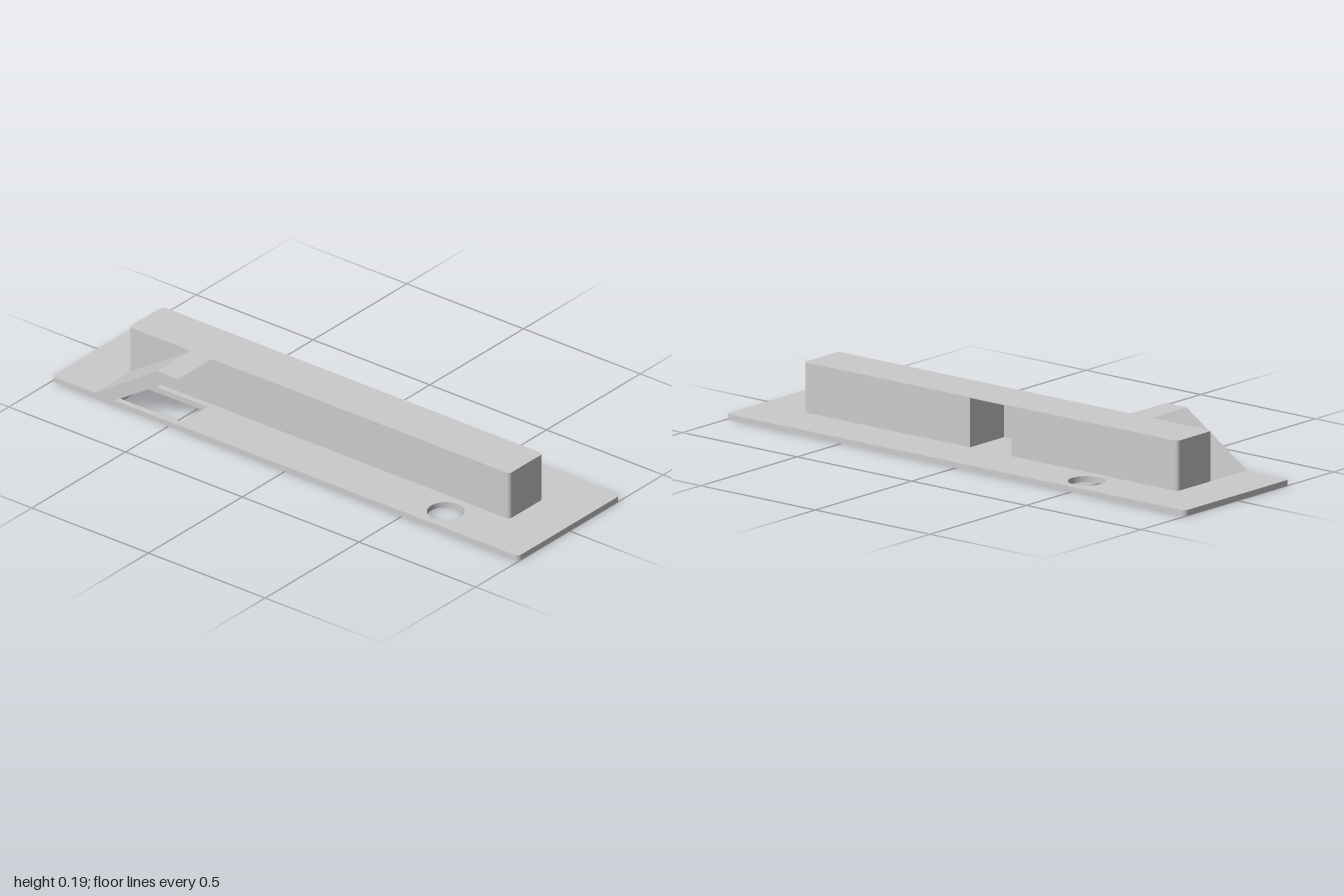
import * as THREE from 'three';

const PLATE = 0.02;   // plate thickness
const TOP = 0.193;    // overall height

const material = new THREE.MeshStandardMaterial({ color: 0xcccccc });

// Rectangle path in plan with an optional corner radius
function rectPath(path, x0, x1, y0, y1, r = 0) {
  path.moveTo(x0 + r, y0);
  path.lineTo(x1 - r, y0);
  if (r) path.absarc(x1 - r, y0 + r, r, -Math.PI / 2, 0);
  path.lineTo(x1, y1 - r);
  if (r) path.absarc(x1 - r, y1 - r, r, 0, Math.PI / 2);
  path.lineTo(x0 + r, y1);
  if (r) path.absarc(x0 + r, y1 - r, r, Math.PI / 2, Math.PI);
  path.lineTo(x0, y0 + r);
  if (r) path.absarc(x0 + r, y0 + r, r, Math.PI, Math.PI * 1.5);
  return path;
}

// Extrude a plan shape (x, -z) upward from y0 to y1
function standing(name, shape, y0, y1) {
  const geometry = new THREE.ExtrudeGeometry(shape, { depth: y1 - y0, bevelEnabled: false, curveSegments: 24 });
  geometry.rotateX(-Math.PI / 2).translate(0, y0, 0);
  const mesh = new THREE.Mesh(geometry, material);
  mesh.name = name;
  return mesh;
}

export function createModel() {
  const group = new THREE.Group();
  group.name = 'slidePlate';

  // Base plate with two screw holes and a window below the ramp
  const plate = rectPath(new THREE.Shape(), -1, 1, -0.272, 0.272, 0.018);
  for (const [x, z] of [[-0.495, -0.18], [0.615, 0.18]]) {
    plate.holes.push(new THREE.Path().absarc(x, -z, 0.063, 0, Math.PI * 2, true));
  }
  plate.holes.push(rectPath(new THREE.Path(), -0.73, -0.46, -0.25, -0.112));
  group.add(standing('basePlate', plate, 0, PLATE));

  // Long rail: its walls leave a pocket open to the back
  const w = 0.815, d = 0.09, r = 0.014, pocket = 0.09, skin = 0.003;
  const walls = new THREE.Shape();
  walls.moveTo(-w + r, -d);
  walls.lineTo(w - r, -d);
  walls.absarc(w - r, -d + r, r, -Math.PI / 2, 0);
  walls.absarc(w - r, d - r, r, 0, Math.PI / 2);
  walls.lineTo(pocket, d);
  walls.lineTo(pocket, -d + skin);
  walls.lineTo(-pocket, -d + skin);
  walls.lineTo(-pocket, d);
  walls.absarc(-w + r, d - r, r, Math.PI / 2, Math.PI);
  walls.absarc(-w + r, -d + r, r, Math.PI, Math.PI * 1.5);
  group.add(standing('railWalls', walls, PLATE, TOP - skin));

  // Thin roof closing the rail and its pocket
  const roof = rectPath(new THREE.Shape(), -w, w, -d, d, r);
  group.add(standing('railRoof', roof, TOP - skin, TOP));

  // Slanted ramp leaning up to the rail top, flush with its front
  const side = new THREE.Shape([[-0.815, PLATE], [-0.73, PLATE], [-0.46, TOP], [-0.55, TOP]]
    .map(([x, y]) => new THREE.Vector2(x, y)));
  const ramp = new THREE.Mesh(
    new THREE.ExtrudeGeometry(side, { depth: 0.272 - d, bevelEnabled: false }), material);
  ramp.position.z = d;
  ramp.name = 'ramp';
  group.add(ramp);

  return group;
}
